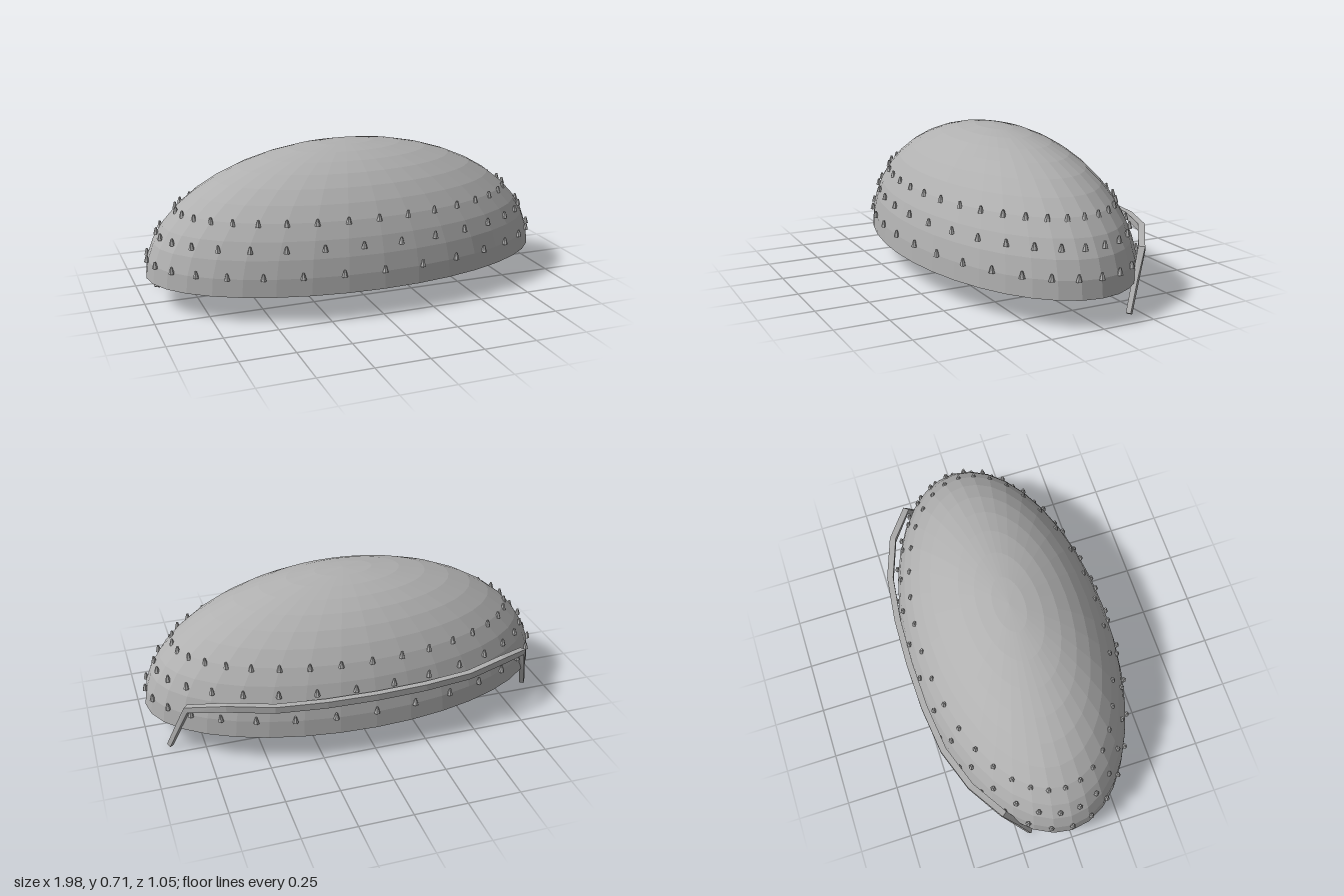
import * as THREE from 'three';

const BASE = 0.13, RX = 0.985, RY = 0.578, RZ = 0.515;

// Sweeps a rectangular bar along points given as [x, y, z, half width, half height].
function sweepBar(points) {
  const P = points.map(p => new THREE.Vector3(p[0], p[1], p[2]));
  const up = new THREE.Vector3(0, 1, 0);
  const pos = [], idx = [];
  P.forEach((p, i) => {
    const t = P[Math.min(i + 1, P.length - 1)].clone().sub(P[Math.max(i - 1, 0)]).normalize();
    const out = new THREE.Vector3().crossVectors(up, t).normalize();
    const rise = new THREE.Vector3().crossVectors(t, out);
    for (const [a, b] of [[-1, -1], [1, -1], [1, 1], [-1, 1]]) {
      const v = p.clone().addScaledVector(out, a * points[i][3]).addScaledVector(rise, b * points[i][4]);
      pos.push(v.x, v.y, v.z);
    }
  });
  for (let i = 0; i < P.length - 1; i++) {
    for (let k = 0; k < 4; k++) {
      const a = i * 4 + k, b = i * 4 + (k + 1) % 4;
      idx.push(a, b, a + 4, b, b + 4, a + 4);
    }
  }
  const e = (P.length - 1) * 4;
  idx.push(0, 2, 1, 0, 3, 2, e, e + 1, e + 2, e, e + 2, e + 3);
  const g = new THREE.BufferGeometry();
  g.setAttribute('position', new THREE.Float32BufferAttribute(pos, 3));
  g.setIndex(idx);
  const flat = g.toNonIndexed();
  flat.computeVertexNormals();
  return flat;
}

export function createModel() {
  const group = new THREE.Group();
  const grey = new THREE.MeshStandardMaterial({ color: 0xb0b0b0, flatShading: true, side: THREE.DoubleSide });
  grey.name = 'grey';

  // Hollow half ellipsoid, open underneath
  const domeGeo = new THREE.SphereGeometry(1, 36, 11, 0, Math.PI * 2, 0, Math.PI / 2);
  domeGeo.scale(RX, RY, RZ);
  domeGeo.computeVertexNormals();
  const dome = new THREE.Mesh(domeGeo, grey);
  dome.name = 'dome';
  dome.position.y = BASE;
  group.add(dome);

  // Three rings of upright studs, the middle one staggered
  const studGeo = new THREE.CylinderGeometry(0.005, 0.014, 0.031, 6);
  const studs = new THREE.Group();
  studs.name = 'studs';
  for (const [y, count, shift] of [[0.224, 32, 0], [0.339, 32, 0.5], [0.444, 36, 0]]) {
    const k = Math.sqrt(1 - ((y - BASE) / RY) ** 2);
    for (let i = 0; i < count; i++) {
      const a = (i + shift) / count * Math.PI * 2;
      const stud = new THREE.Mesh(studGeo, grey);
      stud.name = 'stud';
      stud.position.set(Math.cos(a) * (RX * k + 0.006), y, Math.sin(a) * (RZ * k + 0.006));
      stud.rotation.y = -a;
      studs.add(stud);
    }
  }
  group.add(studs);

  // Strap across the back, with a leg down to the ground at each end
  const half = [
    [0.908, 0.006, -0.187, 0.011, 0.011],
    [0.87, 0.13, -0.241, 0.012, 0.012],
    [0.83, 0.262, -0.298, 0.015, 0.014],
    [0.668, 0.305, -0.407, 0.015, 0.016],
    [0.465, 0.303, -0.478, 0.015, 0.016],
    [0.235, 0.301, -0.505, 0.015, 0.016],
  ];
  const mirrored = half.map(([x, ...rest]) => [-x, ...rest]).reverse();
  const strap = new THREE.Mesh(sweepBar([...half, [0, 0.3, -0.512, 0.015, 0.016], ...mirrored]), grey);
  strap.name = 'backStrap';
  group.add(strap);

  return group;
}
